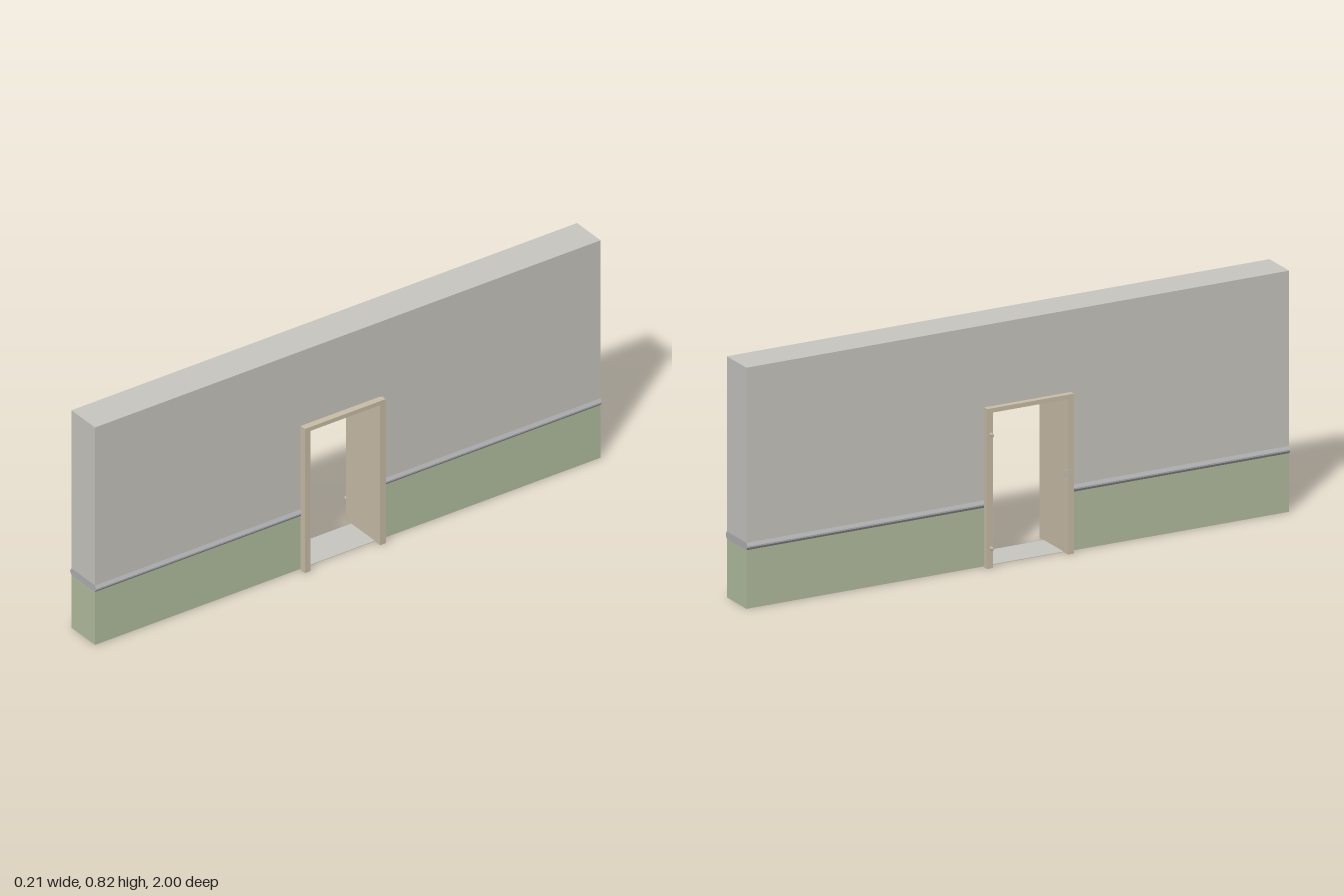
import * as THREE from 'three';

const X0 = -0.057, X1 = 0.074;      // wall faces
const DOOR_Z = 0.031;               // centre of the doorway
const TOP = 0.822, RAIL0 = 0.2, RAIL1 = 0.225;
const LINING = 0.155;               // half width of the hole in the wall
const CLEAR = 0.138, CLEAR_TOP = 0.53;

const material = (color) => new THREE.MeshStandardMaterial({ color, flatShading: true });
const wallMat = material(0xc8c6c0);
const greenMat = material(0xb3be9f);
const railMat = material(0xb0b0b2);
const woodMat = material(0xc9bda8);
const metalMat = material(0xc4bfb4);

export function createModel() {
  const group = new THREE.Group();

  const add = (name, geometry, mat, x = 0, y = 0, z = 0) => {
    const mesh = new THREE.Mesh(geometry, mat);
    mesh.name = name;
    mesh.position.set(x, y, z);
    group.add(mesh);
    return mesh;
  };

  // Box given by its minimum and maximum corners
  const box = (name, mat, x0, x1, y0, y1, z0, z1) =>
    add(name, new THREE.BoxGeometry(x1 - x0, y1 - y0, z1 - z0), mat,
      (x0 + x1) / 2, (y0 + y1) / 2, (z0 + z1) / 2);

  // Outline of (z, y) points, extruded across the wall from x0 to x1
  const outline = (points) => points.map(([z, y]) => new THREE.Vector2(-z, y));
  const slab = (name, mat, points, x0, x1, hole) => {
    const shape = new THREE.Shape(outline(points));
    if (hole) shape.holes.push(new THREE.Path(outline(hole)));
    const g = new THREE.ExtrudeGeometry(shape, { depth: x1 - x0, bevelEnabled: false });
    g.rotateY(Math.PI / 2);
    return add(name, g, mat, x0);
  };

  // Arch-like outline: outer half width and height, inner half width and height
  const arch = (half, top, inner, innerTop, bottom = 0) => [
    [-half, bottom], [-half, top], [half, top], [half, bottom],
    [inner, bottom], [inner, innerTop], [-inner, innerTop], [-inner, bottom],
  ].map(([z, y]) => [z + DOOR_Z, y]);

  // Upper wall around the doorway
  const upper = arch(LINING, TOP, LINING, 0.54, RAIL1);
  upper[0][0] = upper[1][0] = -1;
  upper[2][0] = upper[3][0] = 1;
  slab('upperWall', wallMat, upper, X0, X1);

  // Lower wall and dado rail on both sides of the doorway
  const railProfile = new THREE.Shape([
    [X0, RAIL0], [X1, RAIL0], [X1 + 0.007, 0.209], [X1 + 0.007, 0.214],
    [X1, RAIL1], [X0, RAIL1], [X0 - 0.007, 0.214], [X0 - 0.007, 0.209],
  ].map(([x, y]) => new THREE.Vector2(x, y)));
  for (const [side, z0, z1] of [['back', -1, DOOR_Z - LINING], ['front', DOOR_Z + LINING, 1]]) {
    box(side + 'LowerWall', greenMat, X0, X1, 0, RAIL0, z0, z1);
    add(side + 'DadoRail',
      new THREE.ExtrudeGeometry(railProfile, { depth: z1 - z0, bevelEnabled: false }),
      railMat, 0, 0, z0);
  }

  // Thin floor across the opening
  box('threshold', wallMat, X0, X1, 0, 0.002, DOOR_Z - CLEAR, DOOR_Z + CLEAR);

  // Door lining and the wider casing on each face
  slab('doorLining', woodMat, arch(LINING, 0.54, CLEAR, CLEAR_TOP), -0.065, 0.083);
  slab('rightCasing', woodMat, arch(0.16, 0.545, CLEAR, CLEAR_TOP), -0.0855, -0.065);
  slab('leftCasing', woodMat, arch(0.16, 0.545, CLEAR, CLEAR_TOP), 0.083, 0.104);

  // Hinge lugs on the right casing
  for (const y of [0.071, 0.459]) {
    box('hingeNeck', metalMat, -0.092, -0.085, y - 0.003, y + 0.003, -0.12, -0.116);
    const lug = add('hingeLug', new THREE.CylinderGeometry(0.006, 0.006, 0.016, 12),
      metalMat, -0.098, y, -0.118);
    lug.rotation.z = Math.PI / 2;
    lug.scale.z = 0.6;
  }

  // Strike plate wrapping the casing edge, with its latch hole
  const zFace = DOOR_Z + CLEAR;
  const plate = new THREE.Shape([[-0.0865, 0.243], [-0.068, 0.243], [-0.068, 0.287], [-0.0865, 0.287]]
    .map(([x, y]) => new THREE.Vector2(x, y)));
  plate.holes.push(new THREE.Path([[-0.081, 0.253], [-0.072, 0.253], [-0.072, 0.277], [-0.081, 0.277]]
    .map(([x, y]) => new THREE.Vector2(x, y))));
  add('strikePlate', new THREE.ExtrudeGeometry(plate, { depth: 0.001, bevelEnabled: false }),
    metalMat, 0, 0, zFace - 0.001);
  box('strikeLip', metalMat, -0.0865, -0.0855, 0.243, 0.287, zFace, zFace + 0.006);

  return group;
}
